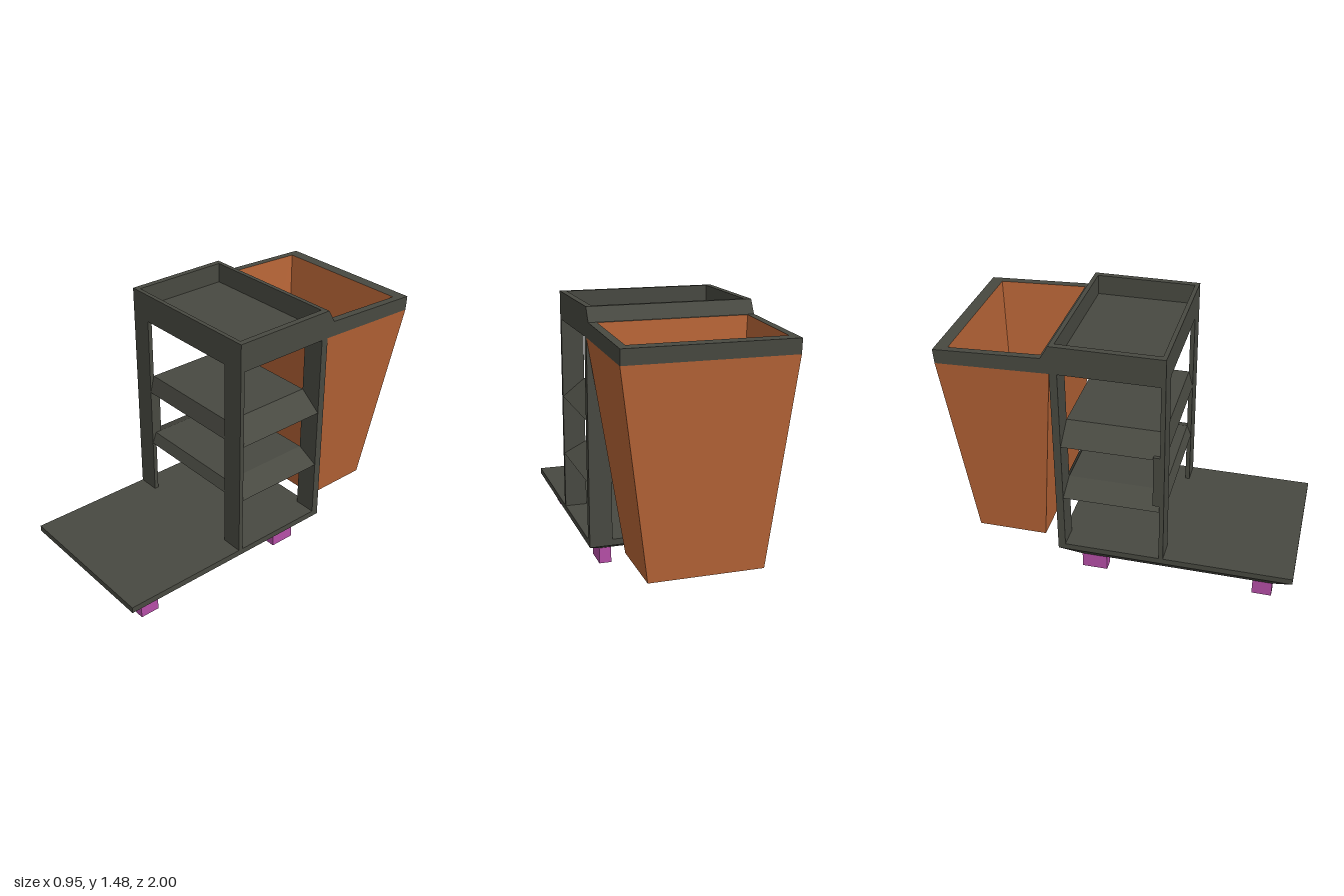
import * as THREE from 'three';

// Rectangular cross-section; the front and back edges may differ in height
const rect = (x0, x1, z0, z1, yFront, yBack = yFront) => [
  [x0, yFront, z1], [x1, yFront, z1], [x1, yBack, z0], [x0, yBack, z0],
];

// Skin a series of rectangular sections, with optional end caps
function loft(loops, capStart = true, capEnd = true) {
  const pos = [];
  const quad = (a, b, c, d) => pos.push(...a, ...b, ...c, ...a, ...c, ...d);
  for (let i = 0; i < loops.length - 1; i++) {
    const lo = loops[i], hi = loops[i + 1];
    for (let k = 0; k < 4; k++) {
      const n = (k + 1) % 4;
      quad(lo[k], lo[n], hi[n], hi[k]);
    }
  }
  if (capStart) quad(...[...loops[0]].reverse());
  if (capEnd) quad(...loops[loops.length - 1]);
  const g = new THREE.BufferGeometry();
  g.setAttribute('position', new THREE.Float32BufferAttribute(pos, 3));
  g.computeVertexNormals();
  return g;
}

export function createModel() {
  const material = (name, color) => {
    const m = new THREE.MeshStandardMaterial({ color, flatShading: true });
    m.name = name;
    return m;
  };
  const grey = material('dark grey plastic', 0x484941);
  const orange = material('orange bin', 0xb86537);
  const purple = material('purple feet', 0xb54fa7);

  const group = new THREE.Group();
  group.name = 'serviceCart';
  const add = (name, geometry, mat) => {
    const mesh = new THREE.Mesh(geometry, mat);
    mesh.name = name;
    group.add(mesh);
  };
  const block = (name, x0, x1, y0, y1, z0, z1, mat) =>
    add(name, loft([rect(x0, x1, z0, z1, y0), rect(x0, x1, z0, z1, y1)]), mat);

  const W = 0.455, IN = 0.328, FRONT = 0.259, BACK = -0.355;

  // Base platform with a bevelled underside
  add('basePlatform', loft([
    rect(-0.405, 0.372, -0.235, 0.878, 0.095),
    rect(-W, W, BACK, 0.99, 0.155),
    rect(-W, W, BACK, 0.99, 0.19),
  ]), grey);

  // Feet
  for (const [x0, x1] of [[-0.402, -0.331], [0.302, 0.371]]) {
    block('frontFoot', x0, x1, 0, 0.1, 0.766, 0.877, purple);
    block('backFoot', x0, x1, 0, 0.1, -0.229, -0.083, purple);
  }

  // Corner posts
  for (const [x0, x1] of [[-W, -IN], [IN, W]]) {
    block('frontPost', x0, x1, 0.19, 1.315, 0.234, FRONT, grey);
    block('backPost', x0, x1, 0.19, 1.315, BACK, -0.313, grey);
  }
  block('postStiffener', -W, -IN, 0.56, 0.88, 0.197, 0.234, grey);

  // Shelves flaring out toward their lower edge
  for (const [y0, y1] of [[0.52, 0.585], [0.865, 0.965]]) {
    add('shelf', loft([
      rect(-W, W, BACK, FRONT, y0),
      rect(-IN, IN, -0.313, 0.234, y1),
    ]), grey);
  }

  // Recessed top tray
  add('topTray', loft([
    rect(-W, W, BACK, FRONT, 1.315),
    rect(-W, W, BACK, FRONT, 1.475),
    rect(-0.42, 0.42, -0.33, 0.235, 1.475),
    rect(-0.42, 0.42, -0.33, 0.235, 1.36),
  ]), grey);

  // Sloping lip joining the tray to the bin rim
  add('binLip', loft([
    rect(-W, W, BACK, BACK, 1.315),
    rect(-W, W, -0.4, BACK, 1.475, 1.4),
  ]), grey);

  // Bin rim, body and inner lining
  const innerTop = rect(-0.415, 0.41, -0.918, -0.408, 1.399, 1.378);
  const rimBottom = rect(-W, W, -0.985, BACK, 1.315, 1.295);
  add('binRim', loft([
    rimBottom,
    rect(-W, W, -0.99, -0.4, 1.4, 1.376),
    innerTop,
  ], false, false), grey);
  add('binBody', loft([
    rect(-0.345, 0.288, -0.874, -0.469, 0.15),
    rimBottom,
  ], true, false), orange);
  add('binLining', loft([
    innerTop,
    rect(-0.343, 0.288, -0.858, -0.469, 0.17),
  ], false, true), orange);

  // The whole cart stands turned by a slight angle
  group.rotation.y = 0.02;
  return group;
}
